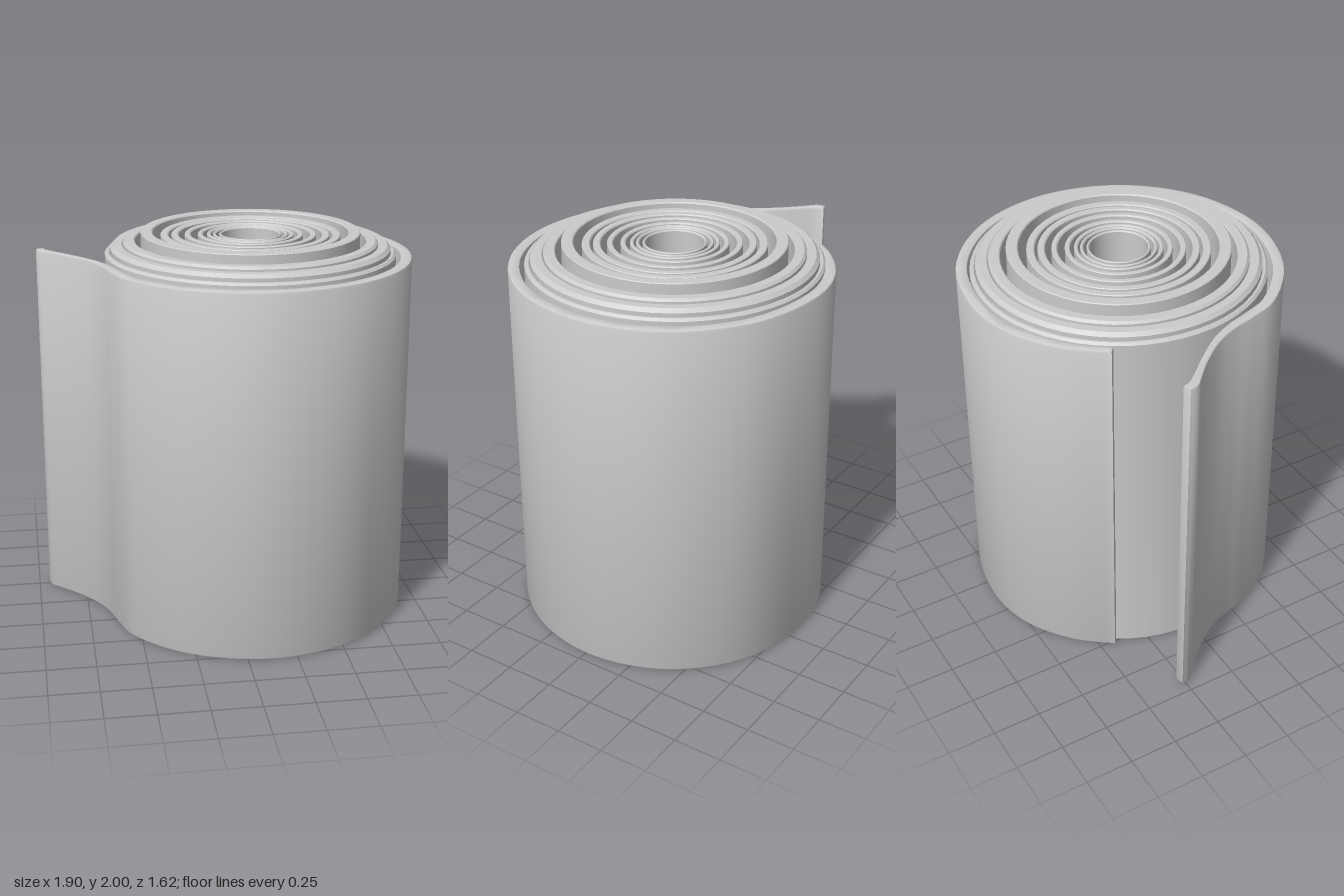
import * as THREE from 'three';
import { toCreasedNormals } from 'three/addons/utils/BufferGeometryUtils.js';

const CX = 0.13, CZ = -0.015; // axis of the roll
const material = new THREE.MeshStandardMaterial({ color: 0xcccccc, side: THREE.DoubleSide });

// hollow tube with chamfered rims: inner and outer radius, height
function tube(name, r0, r1, top, chamfer) {
  const c = chamfer, d = 0.006;
  const profile = [
    [r0 + d, 0], [r1 - d, 0], [r1, d], [r1, top - c], [r1 - c, top],
    [r0 + d, top], [r0, top - d], [r0, d], [r0 + d, 0],
  ].map(([x, y]) => new THREE.Vector2(x, y));
  const geo = toCreasedNormals(new THREE.LatheGeometry(profile, 56), 0.5);
  const mesh = new THREE.Mesh(geo, material);
  mesh.name = name;
  mesh.position.set(CX, 0, CZ);
  return mesh;
}

// outer sheet: a curved strip that wraps the roll and flares into a loose tail
function outerSheet() {
  const path = [];
  const add = (x, z, half) => path.push(new THREE.Vector3(x, half, z));
  const wrap = [[212, 0.745], [230, 0.75], [250, 0.765], [270, 0.768], [300, 0.78],
    [330, 0.788], [360, 0.79], [390, 0.79], [420, 0.79], [450, 0.79], [480, 0.79], [505, 0.79]];
  for (const [deg, r] of wrap) {
    const a = THREE.MathUtils.degToRad(deg);
    add(CX + r * Math.cos(a), CZ + r * Math.sin(a), 0.03);
  }
  add(-0.575, 0.3, 0.028);
  add(-0.615, 0.17, 0.025);
  add(-0.675, 0.045, 0.021);
  add(-0.785, -0.095, 0.019);
  add(-0.88, -0.195, 0.022);
  add(-0.915, -0.235, 0.026);
  add(-0.925, -0.275, 0.022);

  // offset the centre line to both sides; y carries the half thickness
  const curve = new THREE.CatmullRomCurve3(path);
  const n = 110, outer = [], inner = [];
  for (let i = 0; i <= n; i++) {
    const p = curve.getPoint(i / n), t = curve.getTangent(i / n);
    const len = Math.hypot(t.x, t.z), nx = t.z / len, nz = -t.x / len;
    outer.push(new THREE.Vector2(p.x + nx * p.y, -(p.z + nz * p.y)));
    inner.push(new THREE.Vector2(p.x - nx * p.y, -(p.z - nz * p.y)));
  }
  const bevel = 0.012, height = 1.885;
  const geo = new THREE.ExtrudeGeometry(new THREE.Shape([...outer, ...inner.reverse()]), {
    depth: height - 2 * bevel, bevelEnabled: true, bevelSegments: 2,
    bevelThickness: bevel, bevelSize: bevel, bevelOffset: -bevel,
  });
  geo.rotateX(-Math.PI / 2);
  geo.translate(0, bevel, 0);
  const mesh = new THREE.Mesh(toCreasedNormals(geo, 0.6), material);
  mesh.name = 'outerSheet';
  return mesh;
}

export function createModel() {
  const group = new THREE.Group();
  group.name = 'roll';

  // inner windings, with open gaps between them
  const windings = [[0.145, 0.158], [0.174, 0.19], [0.2, 0.22], [0.24, 0.266],
    [0.302, 0.332], [0.363, 0.4], [0.414, 0.455], [0.495, 0.555]];
  windings.forEach(([r0, r1], i) => {
    group.add(tube('innerWinding' + (i + 1), r0, r1, i === 7 ? 2 : 1.985, 0.004));
  });

  // stepped layers below the outer sheet
  group.add(tube('upperLayer', 0.585, 0.645, 1.96, 0.012));
  group.add(tube('middleLayer', 0.646, 0.71, 1.94, 0.018));
  group.add(tube('lowerLayer', 0.711, 0.738, 1.905, 0.012));

  group.add(outerSheet());
  return group;
}
